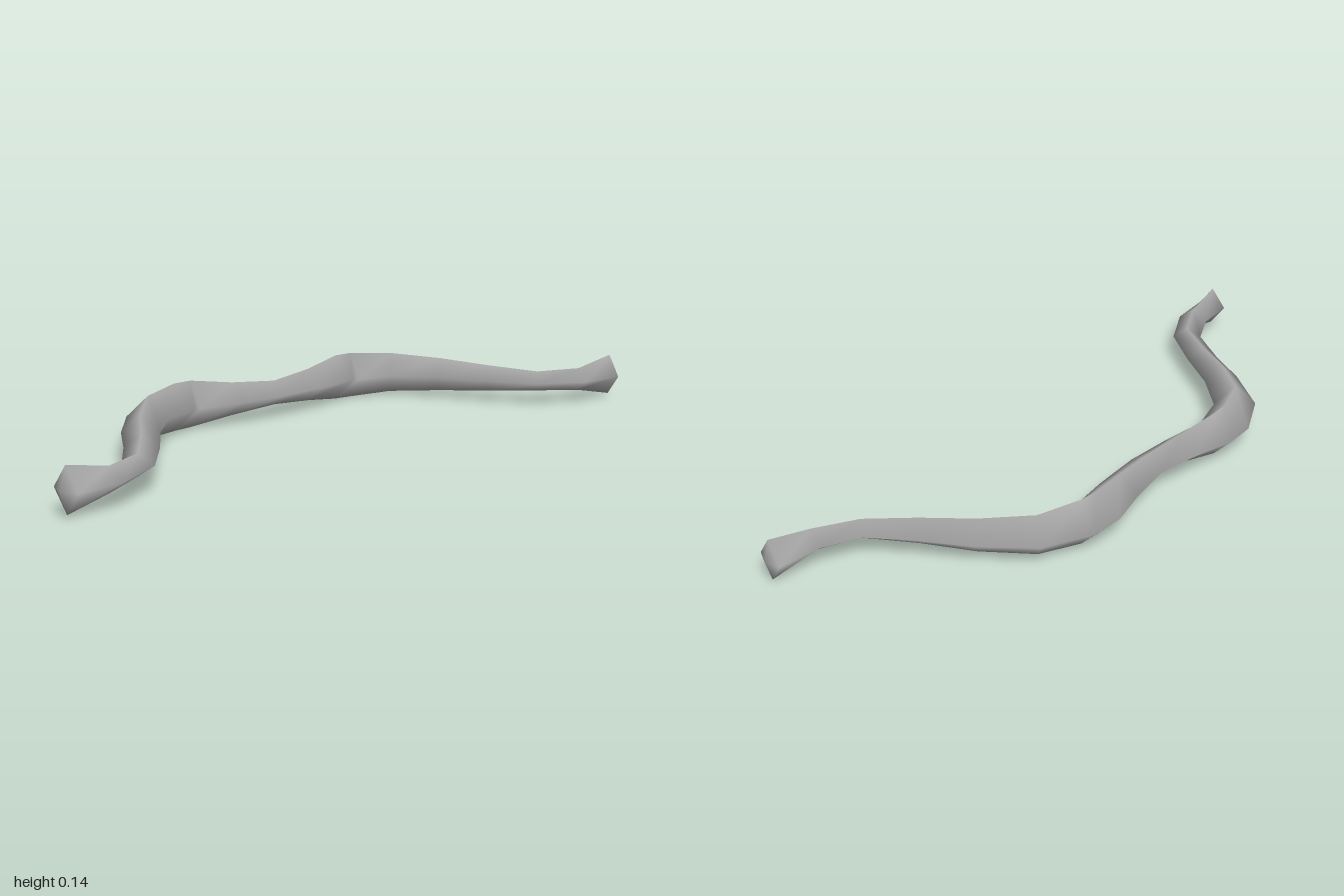
import * as THREE from 'three';

// Half of the limb, from grip to tip: outer edge x, z; inner edge x, z; half height
const HALF = [
  [-0.26, 0, -0.15, 0, 0.037],
  [-0.283, 0.14, -0.16, 0.15, 0.05],
  [-0.315, 0.26, -0.179, 0.29, 0.07],
  [-0.31, 0.36, -0.176, 0.31, 0.071],
  [-0.24, 0.5, -0.145, 0.415, 0.0625],
  [-0.10, 0.605, -0.04, 0.515, 0.0525],
  [0.035, 0.68, 0.095, 0.605, 0.041],
  [0.155, 0.76, 0.225, 0.705, 0.0305],
  [0.207, 0.865, 0.298, 0.84, 0.035],
  [0.22, 0.99, 0.312, 0.975, 0.0625],
];
const MID_Y = 0.0725;

// Sweep a diamond section through the rings and close both ends
function bowGeometry() {
  const mirrored = HALF.slice(1).reverse().map(([ox, oz, ix, iz, h]) => [ox, -oz, ix, -iz, h]);
  const rings = [...mirrored, ...HALF];
  const pos = [];
  const index = [];
  for (const [ox, oz, ix, iz, h] of rings) {
    const mx = (ox + ix) / 2;
    const mz = (oz + iz) / 2;
    pos.push(ox, MID_Y, oz, mx, MID_Y + h, mz, ix, MID_Y, iz, mx, MID_Y - h, mz);
  }
  const last = (rings.length - 1) * 4;
  const tip = rings.length * 4;
  pos.push(0.266, MID_Y, -1, 0.266, MID_Y, 1);
  for (let k = 0; k < 4; k++) {
    const n = (k + 1) % 4;
    for (let r = 0; r < last; r += 4) {
      index.push(r + k, r + 4 + n, r + n, r + k, r + 4 + k, r + 4 + n);
    }
    // shallow end caps
    index.push(tip, k, n, tip + 1, last + n, last + k);
  }
  const geo = new THREE.BufferGeometry();
  geo.setAttribute('position', new THREE.Float32BufferAttribute(pos, 3));
  geo.setIndex(index);
  geo.computeVertexNormals();
  return geo;
}

export function createModel() {
  const group = new THREE.Group();
  group.name = 'bow';
  const grey = new THREE.MeshStandardMaterial({ color: 0xaaaaaa });
  grey.name = 'grey';
  const limb = new THREE.Mesh(bowGeometry(), grey);
  limb.name = 'bowLimb';
  group.add(limb);
  return group;
}
